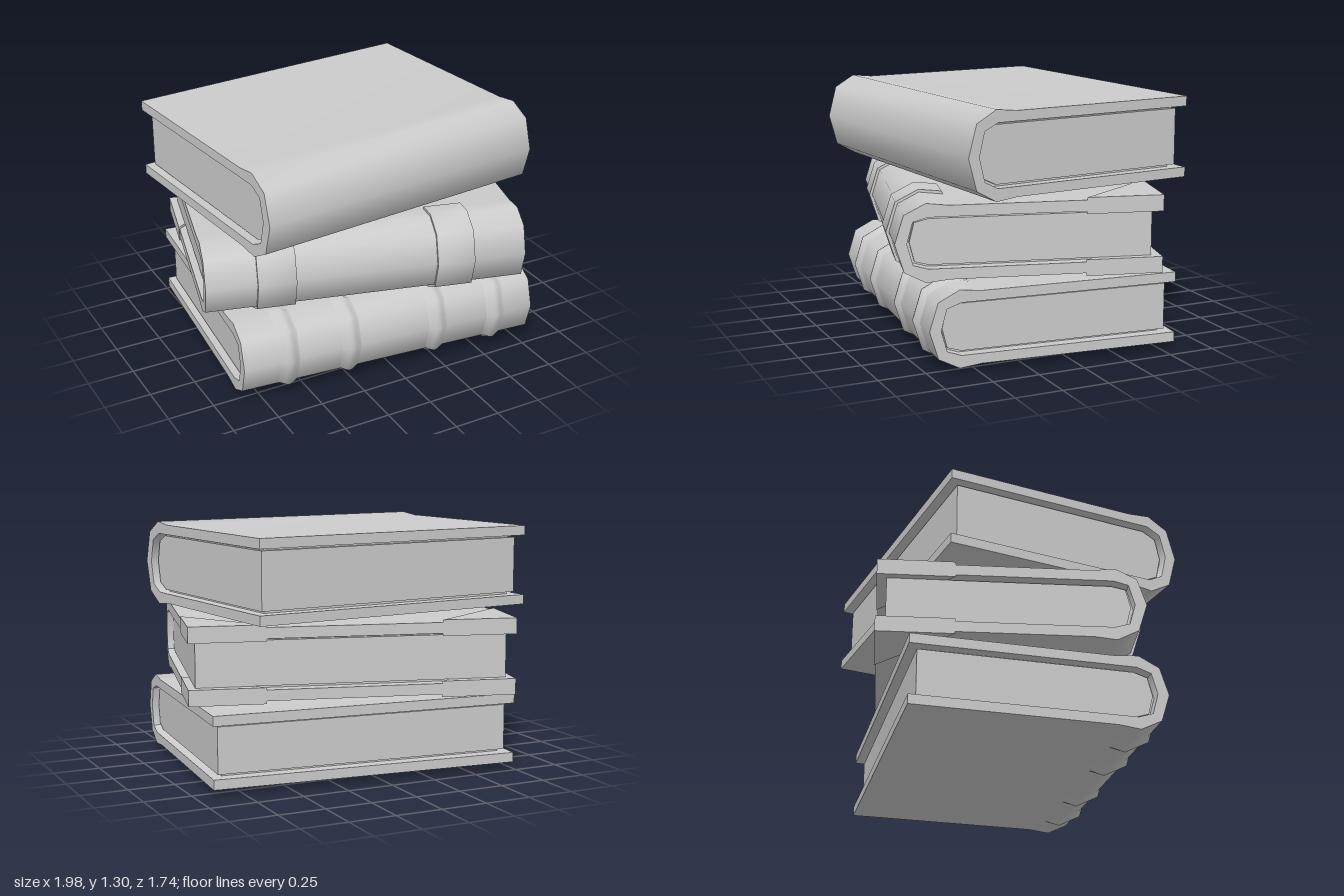
import * as THREE from 'three';
import { toCreasedNormals } from 'three/addons/utils/BufferGeometryUtils.js';

const grey = new THREE.MeshStandardMaterial({ color: 0xcccccc });
grey.name = 'plain grey';

// Mirrors the upper half of a profile ([distance behind spine, height]) to the lower half
const mirrorProfile = (half) => [...half, ...half.slice(0, -1).reverse().map(([d, y]) => [d, -y])];

// Upper half of the outer spine curve, from the cover to the middle of the spine
const outerHalf = (hh) => [[0.27, hh], [0.155, hh + 0.013], [0.045, hh * 0.77], [0, 0]];
const innerHalf = (hh, t) => [[0.165, hh - t], [0.09, hh * 0.58], [0.06, 0]];

// Pushes spine points outward
function outset(points, amount) {
  return points.map(([d, y], i) => {
    const a = points[Math.max(i - 1, 0)], b = points[Math.min(i + 1, points.length - 1)];
    const dx = b[0] - a[0], dy = b[1] - a[1], len = Math.hypot(dx, dy);
    return [d + (dy / len) * amount, y - (dx / len) * amount];
  });
}

function add(group, name, geometry) {
  const mesh = new THREE.Mesh(geometry, grey);
  mesh.name = name;
  group.add(mesh);
  return mesh;
}

// Extrudes a side profile along the length of the book
function slab(points, width, depth, x = 0) {
  const shape = new THREE.Shape(points.map(([d, y]) => new THREE.Vector2(d - depth / 2, y)));
  const g = new THREE.ExtrudeGeometry(shape, { depth: width, bevelEnabled: false });
  g.translate(0, 0, -width / 2).rotateY(Math.PI / 2).translate(x, 0, 0);
  return toCreasedNormals(g, 0.9);
}

// Soft raised rib, lofted across the spine and fading out onto the covers
function ribGeometry(hh, depth, x) {
  const base = mirrorProfile(outerHalf(hh));
  const steps = 8, n = base.length, pos = [], index = [];
  for (let i = 0; i <= steps; i++) {
    const u = (i / steps) * 2 - 1;
    const raised = outset(base, -0.002 + 0.025 * (0.5 + 0.5 * Math.cos(u * Math.PI)));
    raised.forEach((p, j) => {
      const [d, y] = j === 0 || j === n - 1 ? base[j] : p;
      pos.push(x + u * 0.06, y, depth / 2 - d);
      if (i < steps && j < n - 1) {
        const a = i * n + j, b = a + n;
        index.push(a, a + 1, b, b, a + 1, b + 1);
      }
    });
  }
  const g = new THREE.BufferGeometry();
  g.setAttribute('position', new THREE.Float32BufferAttribute(pos, 3));
  g.setIndex(index);
  g.computeVertexNormals();
  return g;
}

function makeBook({ name, width, depth, hh, t, x, y, z = 0, turn, ribs = [], bands = [], corners = false }) {
  const book = new THREE.Group();
  book.name = name;
  const outer = mirrorProfile(outerHalf(hh));
  const inner = mirrorProfile(innerHalf(hh, t));

  // Wrap-around cover
  add(book, 'cover', slab([
    [depth, hh], ...outer, [depth, -hh], [depth, t - hh],
    ...[...inner].reverse(), [depth, hh - t],
  ], width, depth));

  // Page block, with a recessed lining behind the narrow gap
  const pageTop = hh - t - 0.013;
  const pageEdge = mirrorProfile([[0.172, pageTop], [0.1, hh * 0.53], [0.075, 0]]);
  add(book, 'pages', slab(
    [[depth - 0.045, pageTop], ...pageEdge, [depth - 0.045, -pageTop]], width - 0.07, depth));
  add(book, 'lining', slab(
    [[depth - 0.07, hh - t], ...inner, [depth - 0.07, t - hh]], width - 0.12, depth));

  // Spine ribs
  for (const rx of ribs) add(book, 'spineRib', ribGeometry(hh, depth, rx));

  // Flat raised bands around the spine
  for (const bx of bands) {
    add(book, 'spineBand', slab([...outset(outer, 0.015), ...[...outer].reverse().map(([d, v]) =>
      [d + 0.01, v * 0.95])], 0.2, depth, bx));
  }

  // Triangular corner guards on both covers
  if (corners) {
    const thick = t + 0.027;
    for (const s of [-1, 1]) {
      const cx = s * (width / 2 + 0.005), cz = depth / 2 + 0.005;
      const tri = new THREE.Shape([
        new THREE.Vector2(cx, cz), new THREE.Vector2(cx - s * 0.395, cz), new THREE.Vector2(cx, cz - 0.395),
      ]);
      for (const bottom of [pageTop, -pageTop - thick]) {
        const g = new THREE.ExtrudeGeometry(tri, { depth: thick, bevelEnabled: false });
        add(book, 'cornerGuard', g.rotateX(-Math.PI / 2).translate(0, bottom, 0));
      }
    }
  }
  book.position.set(x, y, z);
  book.rotation.y = turn;
  return book;
}

export function createModel() {
  const model = new THREE.Group();
  model.name = 'bookStack';
  model.add(
    makeBook({ name: 'bottomBook', width: 1.666, depth: 1.325, hh: 0.187, t: 0.052,
      x: 0.022, y: 0.227, z: 0.014, turn: -0.087, ribs: [-0.58, -0.235, 0.266, 0.613] }),
    makeBook({ name: 'middleBook', width: 1.69, depth: 1.35, hh: 0.187, t: 0.057,
      x: -0.004, y: 0.645, turn: -0.253, bands: [-0.48, 0.465], corners: true }),
    makeBook({ name: 'topBook', width: 1.63, depth: 1.3, hh: 0.213, t: 0.052,
      x: -0.022, y: 1.081, turn: 0.104 }),
  );
  return model;
}
